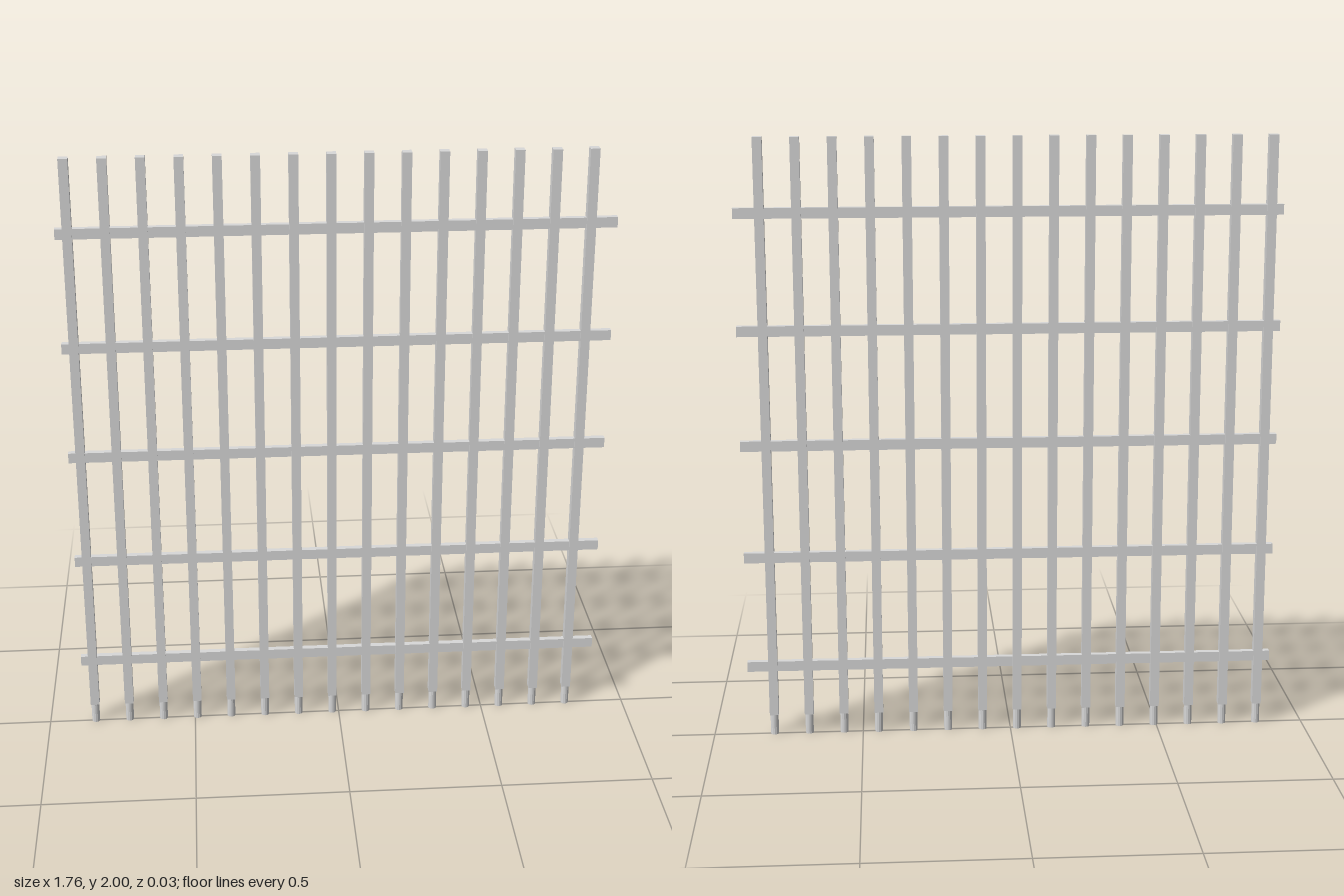
import * as THREE from 'three';

export function createModel() {
  const group = new THREE.Group();
  const steel = new THREE.MeshStandardMaterial({ color: 0xd8d8d8 });
  steel.name = 'light grey steel';

  const add = (geometry, name, x, y) => {
    const mesh = new THREE.Mesh(geometry, steel);
    mesh.name = name;
    mesh.position.set(x, y, 0);
    group.add(mesh);
  };

  const pegHeight = 0.07, barSize = 0.03;
  const barGeometry = new THREE.BoxGeometry(barSize, 2 - pegHeight, barSize);
  const pegGeometry = new THREE.CylinderGeometry(0.0135, 0.0135, pegHeight, 12).toNonIndexed();
  pegGeometry.computeVertexNormals();
  const railGeometry = new THREE.BoxGeometry(1.764, 0.034, 0.02);

  // Square upright bars, each with a faceted round peg at its foot
  for (let i = 0; i < 15; i++) {
    const x = -0.843 + i * 0.1172;
    add(barGeometry, 'uprightBar', x, (2 + pegHeight) / 2);
    add(pegGeometry, 'footPeg', x, pegHeight / 2);
  }

  // Flat cross rails running through the bars
  for (let i = 0; i < 5; i++) add(railGeometry, 'crossRail', 0, 0.242 + i * 0.3795);

  return group;
}
